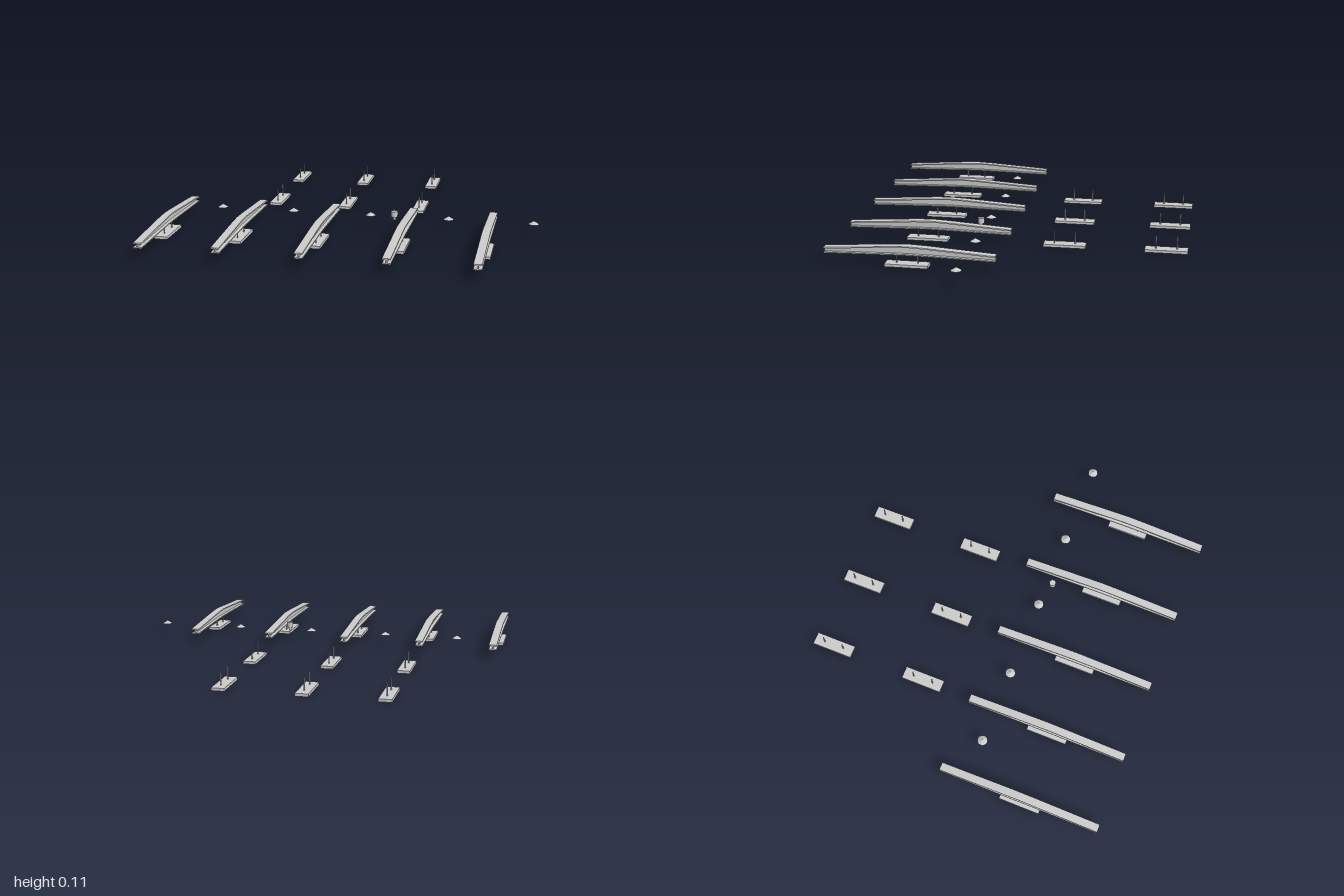
import * as THREE from 'three';

const material = new THREE.MeshStandardMaterial({ color: 0xcccccc, flatShading: true });

function add(parent, name, geometry, x = 0, y = 0, z = 0) {
  const mesh = new THREE.Mesh(geometry, material);
  mesh.name = name;
  mesh.position.set(x, y, z);
  parent.add(mesh);
  return mesh;
}

// Cambered strip running along z: rises from its ends to the middle
function camberedStrip(width, endBottom, midBottom, endTop, midTop) {
  const half = 0.447;
  const stations = [[-half, 0], [-0.09, 0.86], [0, 1], [0.09, 0.86], [half, 0]];
  const at = (a, b) => stations.map(([z, t]) => new THREE.Vector2(z, a + (b - a) * t));
  const outline = [...at(endBottom, midBottom), ...at(endTop, midTop).reverse()];
  const geometry = new THREE.ExtrudeGeometry(new THREE.Shape(outline), { depth: width, bevelEnabled: false });
  return geometry.translate(0, 0, -width / 2).rotateY(-Math.PI / 2);
}

// I-section girder
function createBeam() {
  const beam = new THREE.Group();
  beam.name = 'beam';
  add(beam, 'topFlange', camberedStrip(0.043, 0.075, 0.102, 0.082, 0.109));
  add(beam, 'web', camberedStrip(0.006, 0.056, 0.066, 0.076, 0.103));
  add(beam, 'bottomFlange', camberedStrip(0.043, 0.052, 0.061, 0.058, 0.067));
  return beam;
}

// Footing plate with a ribbed underside and two upright rods
function createFooting() {
  const footing = new THREE.Group();
  footing.name = 'footing';
  const width = 0.068, length = 0.226, wall = 0.005;
  add(footing, 'plate', new THREE.BoxGeometry(width, 0.006, length), 0, 0.012, 0);
  for (const side of [-1, 1]) {
    add(footing, 'sideRim', new THREE.BoxGeometry(wall, 0.009, length), side * (width - wall) / 2, 0.0045, 0);
    add(footing, 'rod', new THREE.CylinderGeometry(0.0035, 0.0035, 0.068, 8), 0, 0.046, side * 0.056);
  }
  const ribs = 10;
  for (let i = 0; i < ribs; i++) {
    const z = (i / (ribs - 1) - 0.5) * (length - wall);
    add(footing, 'rib', new THREE.BoxGeometry(width - 2 * wall, 0.009, wall), 0, 0.0045, z);
  }
  return footing;
}

export function createModel() {
  const model = new THREE.Group();
  model.name = 'beamsAndFootings';
  const place = (object, x, z) => {
    object.position.set(x, 0, z);
    model.add(object);
  };

  // Front row: each girder sits over a footing
  for (const x of [-0.966, -0.56, -0.135, 0.302, 0.742]) {
    place(createBeam(), x, 0.468);
    place(createFooting(), x, 0.48);
  }

  // Two rear rows of bare footings
  for (const z of [-0.267, -0.807]) {
    for (const x of [-0.542, -0.131, 0.296]) place(createFooting(), x, z);
  }

  // Small low cones between the girders
  for (const x of [-0.753, -0.346, 0.086, 0.513, 0.967]) {
    add(model, 'cone', new THREE.ConeGeometry(0.028, 0.018, 16), x, 0.082, 0.174);
  }

  // Single bolt with a drum head and a tapered shank
  const bolt = new THREE.Group();
  bolt.name = 'bolt';
  add(bolt, 'head', new THREE.CylinderGeometry(0.018, 0.018, 0.03, 16), 0, 0.096, 0);
  add(bolt, 'shank', new THREE.CylinderGeometry(0.01, 0.007, 0.019, 12), 0, 0.0715, 0);
  place(bolt, 0.222, 0.204);

  return model;
}
